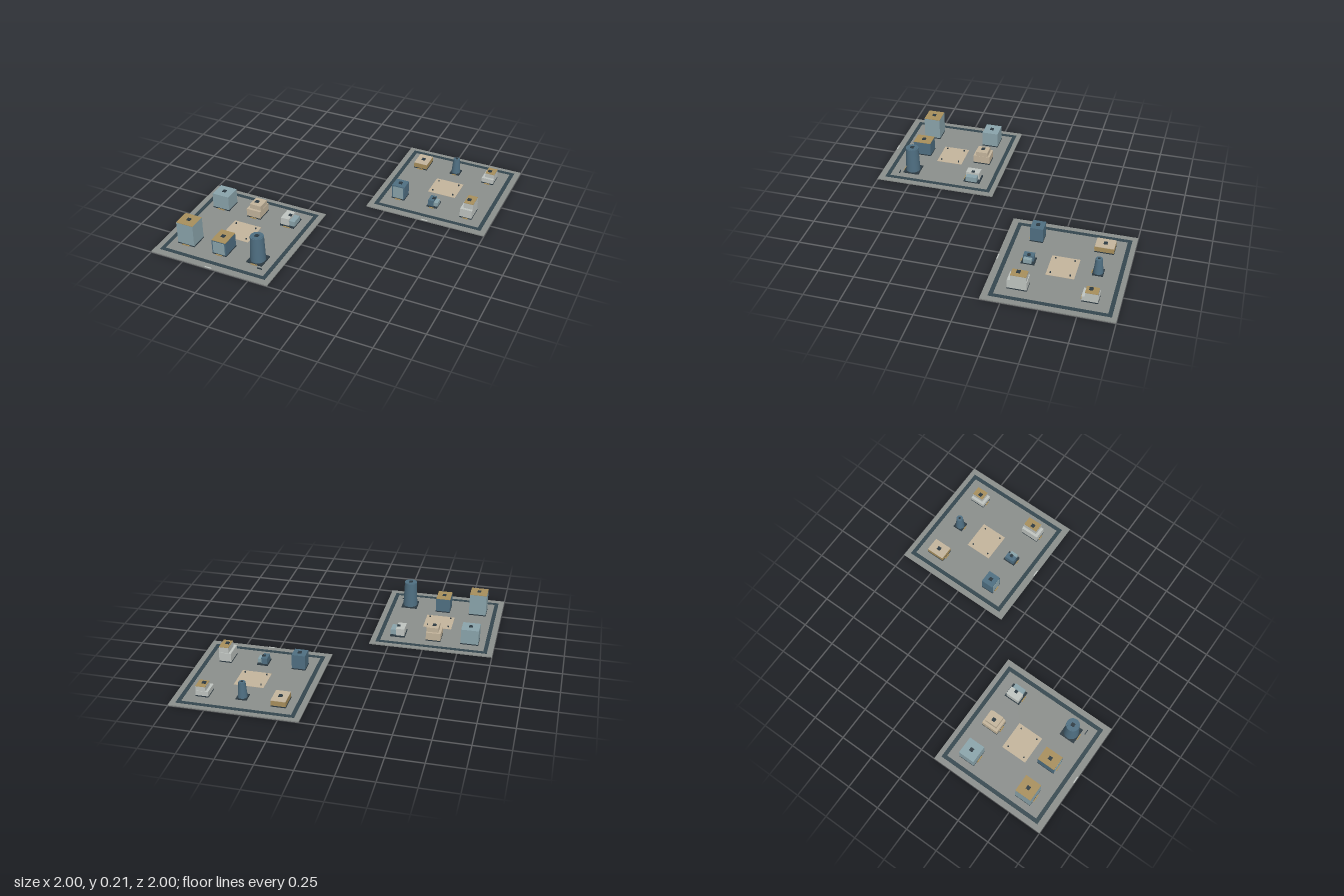
import * as THREE from 'three';

const G = 0.008; // top of the ground slabs
const mats = {};
const mat = (color) => (mats[color] ??= new THREE.MeshStandardMaterial({ color }));
const C = {
  ground: 0x8b8f8c, road: 0x34474f, sand: 0xc4b59c, dark: 0x2c3a42, blue: 0x4f6f82,
  pale: 0x8aa4ab, tan: 0xa88f5c, white: 0xc0c5c1,
};

function add(parent, name, geo, color, x, y, z) {
  const m = new THREE.Mesh(geo, mat(color));
  m.name = name;
  m.position.set(x, y, z);
  parent.add(m);
  return m;
}

// Box given by its footprint edges, bottom and top
function block(parent, name, color, x0, x1, z0, z1, y0, y1) {
  return add(parent, name, new THREE.BoxGeometry(x1 - x0, y1 - y0, z1 - z0), color,
    (x0 + x1) / 2, (y0 + y1) / 2, (z0 + z1) / 2);
}

// Dark plinth, entrance step and roof unit shared by all buildings
function fittings(g, x0, x1, z0, z1, top, unit = 0.026) {
  const x = (x0 + x1) / 2, z = (z0 + z1) / 2, w = (x1 - x0) * 0.22;
  block(g, 'plinth', C.dark, x0 - 0.001, x1 + 0.001, z0 - 0.001, z1 + 0.001, G, G + 0.008);
  block(g, 'entranceStep', C.tan, x - w, x + w, z1, z1 + 0.009, G, G + 0.005);
  block(g, 'roofUnit', C.dark, x - unit / 2, x + unit / 2, z - unit / 2, z + unit / 2, top, top + 0.006);
}

// Plain block with a thin coloured roof and optional front panel
function plain(parent, name, x0, x1, z0, z1, h, wall, roof, panel) {
  const g = new THREE.Group();
  g.name = name;
  block(g, 'walls', wall, x0, x1, z0, z1, G, h - 0.003);
  block(g, 'roof', roof, x0, x1, z0, z1, h - 0.003, h);
  if (panel) block(g, 'frontPanel', panel, x0 + 0.009, x1 - 0.009, z1, z1 + 0.002, 0.018, h - 0.01);
  fittings(g, x0, x1, z0, z1, h);
  parent.add(g);
}

// Two tiers: low = [x0,x1,z0,z1,h], high the same
function stepped(parent, name, low, high, wall, roof) {
  const g = new THREE.Group();
  g.name = name;
  const [a, b, c, d, h] = low, [e, f, i, j, k] = high;
  block(g, 'lowerTier', wall, a, b, c, d, G, h);
  block(g, 'upperTier', wall, e, f, i, j, h, k - 0.003);
  block(g, 'upperRoof', roof, e, f, i, j, k - 0.003, k);
  fittings(g, a, b, c, d, k);
  parent.add(g);
}

// Low main block with a lower side wing on a dark base
function winged(parent, name, x0, x1, z0, z1, h, wall, wing) {
  const g = new THREE.Group();
  g.name = name;
  const xm = x0 + (x1 - x0) * 0.62;
  block(g, 'mainBlock', wall, x0 + 0.004, xm, z0 + 0.01, z1 - 0.008, G, h);
  block(g, 'wing', wing, xm, x1, z0 + 0.02, z1 - 0.015, G, h * 0.78);
  fittings(g, x0, x1, z0, z1, h, 0.022);
  parent.add(g);
}

// Tapered round tower on a square base
function tower(parent, name, x, z, half, r0, r1, h) {
  const g = new THREE.Group();
  g.name = name;
  block(g, 'base', C.dark, x - half, x + half, z - half, z + half, G, G + 0.008);
  block(g, 'entranceStep', C.tan, x - half * 0.4, x + half * 0.4, z + half, z + half + 0.008, G, G + 0.005);
  add(g, 'shaft', new THREE.CylinderGeometry(r1, r0, h - G, 24), C.blue, x, (h + G) / 2, z);
  add(g, 'roofCap', new THREE.CylinderGeometry(r1 * 0.85, r1 * 0.85, 0.002, 24), C.blue, x, h + 0.001, z);
  block(g, 'roofUnit', C.dark, x - r1 * 0.28, x + r1 * 0.28, z - r1 * 0.28, z + r1 * 0.28, h, h + 0.006);
  parent.add(g);
}

// Ground slab with ring road, plaza and corner lamps
function district(parent, name, cx, cz) {
  const g = new THREE.Group();
  g.name = name;
  block(g, 'groundSlab', C.ground, cx - 0.445, cx + 0.445, cz - 0.445, cz + 0.445, 0, G);
  const x = cx, z = cz - 0.006, r = 0.405, w = 0.028, t = G + 0.002;
  for (const s of [-1, 1]) {
    const p = s * (r - w / 2);
    block(g, 'roadAlongX', C.road, x - r, x + r, z + p - w / 2, z + p + w / 2, G, t);
    block(g, 'roadAlongZ', C.road, x + p - w / 2, x + p + w / 2, z - r + w, z + r - w, G, t);
  }
  block(g, 'plaza', C.sand, x - 0.105, x + 0.105, cz - 0.107, cz + 0.087, G, t);
  for (const sx of [-1, 1]) for (const sz of [-1, 1])
    add(g, 'plazaLamp', new THREE.CylinderGeometry(0.005, 0.005, 0.01, 8), C.dark,
      x + sx * 0.078, t + 0.004, cz - 0.008 + sz * 0.067);
  block(g, 'edgeMarker', C.white, x - 0.025, x + 0.025, cz + 0.436, cz + 0.445, G, G + 0.002);
  parent.add(g);
  return g;
}

export function createModel() {
  const model = new THREE.Group();
  model.name = 'cityBlocks';

  // Front right district
  const a = district(model, 'largeDistrict', -0.555, 0.555);
  plain(a, 'paleBlock', -0.885, -0.757, 0.246, 0.366, 0.126, C.pale, C.pale);
  stepped(a, 'sandSteppedBlock', [-0.61, -0.503, 0.241, 0.366, 0.073],
    [-0.591, -0.505, 0.257, 0.348, 0.108], C.sand, C.sand);
  winged(a, 'wingedBlock', -0.345, -0.238, 0.246, 0.366, 0.07, C.white, C.pale);
  plain(a, 'tallBlock', -0.885, -0.757, 0.717, 0.84, 0.18, C.pale, C.tan);
  plain(a, 'panelBlock', -0.61, -0.503, 0.711, 0.845, 0.12, C.blue, C.tan, C.pale);
  tower(a, 'largeTower', -0.293, 0.78, 0.059, 0.054, 0.047, 0.205);
  block(a, 'bench', C.dark, -0.254, -0.217, 0.864, 0.869, G, G + 0.008);

  // Back left district
  const b = district(model, 'smallDistrict', 0.555, -0.555);
  plain(b, 'lowBlock', 0.235, 0.337, -0.868, -0.735, 0.055, C.tan, C.sand);
  tower(b, 'smallTower', 0.549, -0.802, 0.037, 0.034, 0.024, 0.127);
  stepped(b, 'backSteppedBlock', [0.77, 0.858, -0.858, -0.749, 0.05],
    [0.789, 0.858, -0.855, -0.77, 0.085], C.white, C.tan);
  plain(b, 'smallPanelBlock', 0.238, 0.334, -0.374, -0.283, 0.12, C.blue, C.blue, C.pale);
  winged(b, 'smallWingedBlock', 0.511, 0.586, -0.374, -0.283, 0.06, C.blue, C.pale);
  stepped(b, 'frontSteppedBlock', [0.77, 0.858, -0.39, -0.257, 0.08],
    [0.789, 0.858, -0.385, -0.278, 0.124], C.white, C.tan);
  return model;
}
